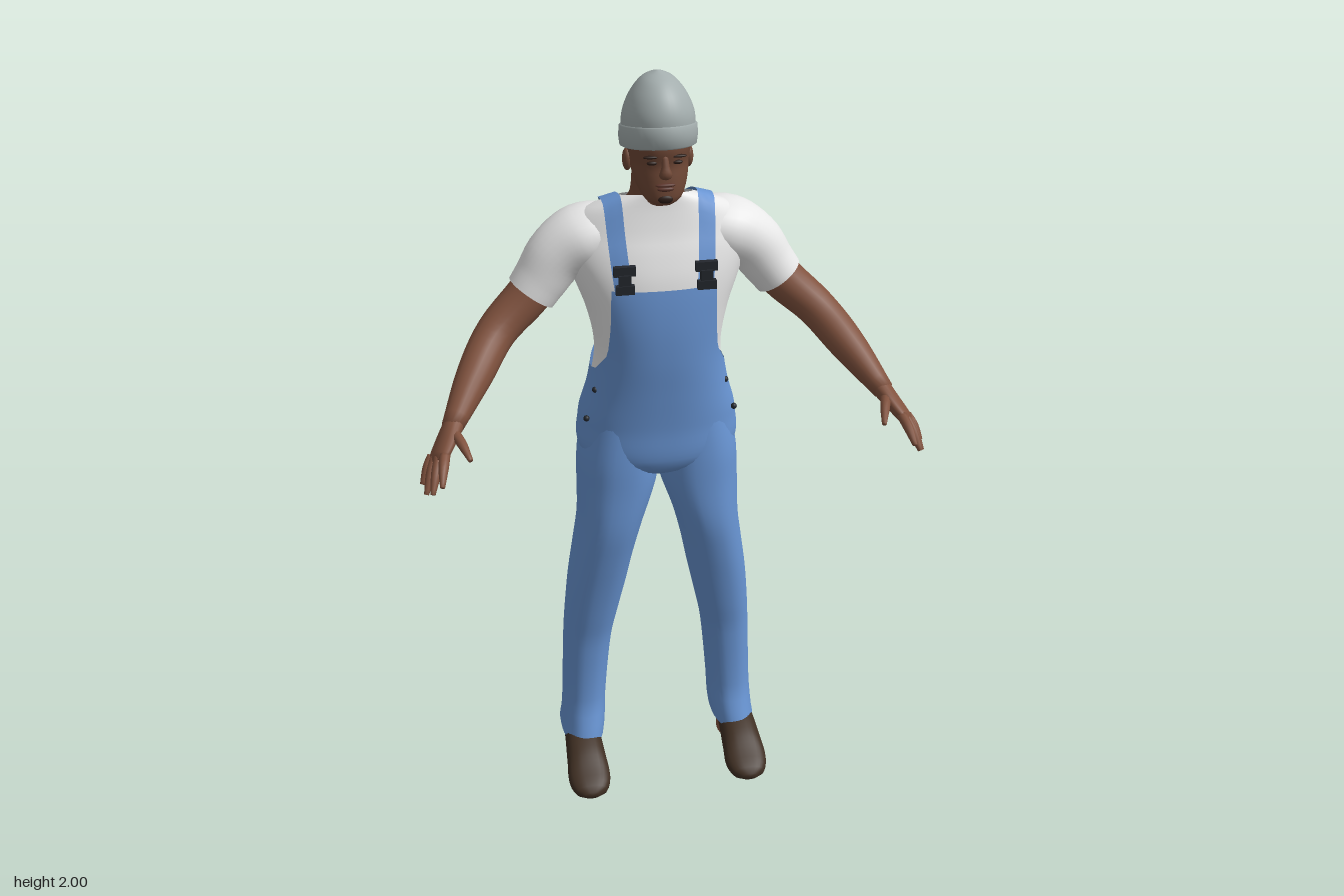
import * as THREE from 'three';

const V = (x, y, z) => new THREE.Vector3(x, y, z);
const mat = (name, color, side = THREE.FrontSide) => {
  const m = new THREE.MeshStandardMaterial({ color, side });
  m.name = name;
  return m;
};

// Smooth interpolation of a table whose first column is the key
function sample(table, k) {
  const n = table.length;
  let i = 0;
  while (i < n - 2 && k > table[i + 1][0]) i++;
  const slope = (j, c) => {
    const a = table[Math.max(j - 1, 0)], b = table[Math.min(j + 1, n - 1)];
    return (b[c] - a[c]) / (b[0] - a[0]);
  };
  const p = table[i], q = table[i + 1], h = q[0] - p[0];
  const t = THREE.MathUtils.clamp((k - p[0]) / h, 0, 1), t2 = t * t, t3 = t2 * t;
  return p.map((v, c) => c === 0 ? k :
    (2 * t3 - 3 * t2 + 1) * v + (t3 - 2 * t2 + t) * h * slope(i, c) +
    (3 * t2 - 2 * t3) * q[c] + (t3 - t2) * h * slope(i + 1, c));
}

// Skin over rows of points; closed rows share their seam
function skinRows(name, rows, material, closed = true, caps = false) {
  if (caps) {
    const tip = (r) => {
      const c = V(0, 0, 0);
      r.forEach((p) => c.addScaledVector(p, 1 / r.length));
      return r.map(() => c);
    };
    rows = [tip(rows[0]), ...rows, tip(rows[rows.length - 1])];
  }
  const m = rows[0].length, index = [];
  for (let i = 0; i < rows.length - 1; i++) {
    for (let j = 0; j < (closed ? m : m - 1); j++) {
      const k = (j + 1) % m, a = i * m + j, b = i * m + k, c = a + m, d = b + m;
      index.push(a, b, c, b, d, c);
    }
  }
  const g = new THREE.BufferGeometry().setFromPoints(rows.flat());
  g.setIndex(index);
  g.computeVertexNormals();
  const mesh = new THREE.Mesh(g, material);
  mesh.name = name;
  return mesh;
}

const pw = (v, e) => Math.sign(v) * Math.abs(v) ** e;
const angles = (n) => Array.from({ length: n }, (_, j) => j / n * Math.PI * 2);

// Point on a level section [y, halfWidth, zFront, zBack]
function section([y, w, zf, zb], a, cx = 0, n = 2.3, grow = 0, tilt = 0) {
  const dz = ((zf - zb) / 2 + grow) * pw(Math.cos(a), 2 / n);
  return V(cx + (w + grow) * pw(Math.sin(a), 2 / n), y + tilt * dz, (zf + zb) / 2 + dz);
}

// Level-section body from a bottom-up table
function stack(name, table, material, { n = 2.2, steps = 24, tilt = 0, caps = false } = {}) {
  const lo = table[0][0], hi = table[table.length - 1][0], rows = [];
  for (let i = 0; i <= steps; i++) {
    const s = sample(table, lo + (hi - lo) * i / steps);
    rows.push(angles(40).map((a) => section(s, a, 0, n, 0, tilt * (1 - i / steps))));
  }
  return skinRows(name, rows, material, true, caps);
}

// Limb through stations [x, y, z, radius across z, other radius]
function limb(name, st, material, { sides = 20, steps = 20, caps = true } = {}) {
  const curve = new THREE.CatmullRomCurve3(st.map((s) => V(s[0], s[1], s[2])));
  const radii = st.map((s, i) => [i, s[3], s[4] ?? s[3]]);
  const rows = [];
  for (let i = 0; i <= steps; i++) {
    const u = i / steps, c = curve.getPoint(u), t = curve.getTangent(u);
    const [, ra, rb] = sample(radii, u * (st.length - 1));
    const n1 = V(0, 0, 1).addScaledVector(t, -t.z).normalize();
    const n2 = t.clone().cross(n1);
    rows.push(angles(sides).map((a) => c.clone()
      .addScaledVector(n1, ra * Math.cos(a)).addScaledVector(n2, rb * Math.sin(a))));
  }
  return skinRows(name, rows, material, true, caps);
}

function solid(name, g, material, x, y, z) {
  g.translate(x, y, z);
  const m = new THREE.Mesh(g, material);
  m.name = name;
  return m;
}
const box = (name, w, h, d, m, x, y, z) => solid(name, new THREE.BoxGeometry(w, h, d), m, x, y, z);
const ball = (name, w, h, d, m, x, y, z) =>
  solid(name, new THREE.SphereGeometry(1, 18, 12).scale(w, h, d), m, x, y, z);

function mirrored(mesh, name) {
  const g = mesh.geometry.clone().scale(-1, 1, 1), ix = g.index.array;
  for (let i = 0; i < ix.length; i += 3) [ix[i], ix[i + 1]] = [ix[i + 1], ix[i]];
  const m = new THREE.Mesh(g, mesh.material);
  m.name = name;
  return m;
}

export function createModel() {
  const group = new THREE.Group();
  group.name = 'workman';
  const skin = mat('skin', 0x80523e), faceSkin = mat('face skin', 0x704836);
  const dark = mat('dark brown hair', 0x2c1d17), lip = mat('lips', 0x5c352b);
  const shirtMat = mat('white cotton', 0xe9e9e9, THREE.DoubleSide);
  const denim = mat('blue denim', 0x6894d2, THREE.DoubleSide);
  const wool = mat('grey wool', 0xa4aeae, THREE.DoubleSide);
  const leather = mat('brown leather', 0x3f2f23), metal = mat('dark buckle', 0x23272d);
  const add = (...m) => group.add(...m);
  const pair = (m) => {
    const base = m.name;
    m.name = 'left ' + base;
    group.add(m, mirrored(m, 'right ' + base));
  };

  // Torso sections shared by shirt and overalls
  const torso = [
    [0.935, 0.04, -0.08, -0.17], [0.96, 0.1, -0.03, -0.22], [1.0, 0.19, -0.002, -0.248],
    [1.1, 0.198, 0.002, -0.252], [1.2, 0.173, 0.01, -0.236], [1.3, 0.16, 0.018, -0.236],
    [1.4, 0.177, 0.018, -0.252], [1.5, 0.212, 0.006, -0.263], [1.57, 0.232, -0.015, -0.26],
    [1.62, 0.22, -0.035, -0.25], [1.66, 0.175, -0.05, -0.23], [1.69, 0.09, -0.055, -0.2]];
  const ring = angles(96);
  const shirtRows = [];
  for (let i = 0; i <= 36; i++) {
    const y = 1.2 + 0.49 * i / 36, tilt = 0.3 * THREE.MathUtils.smoothstep(y, 1.6, 1.69);
    shirtRows.push(ring.map((a) => section(sample(torso, y), a, 0, 2.3, 0, tilt)));
  }
  const shirt = skinRows('shirt body', shirtRows, shirtMat);
  add(shirt);
  pair(limb('sleeve', [[0.1, 1.6, -0.14, 0.085, 0.065], [0.18, 1.582, -0.14, 0.096, 0.082],
    [0.243, 1.545, -0.134, 0.08, 0.076], [0.285, 1.49, -0.128, 0.071, 0.068],
    [0.313, 1.452, -0.124, 0.068, 0.064]], shirtMat, { sides: 28, caps: false }));

  // Overalls: the top edge dips at the sides, with bib in front and panel behind
  const edge = [[0, 1.49], [0.59, 1.49], [0.75, 1.4], [0.95, 1.31], [1.3, 1.258], [1.6, 1.243],
    [2.05, 1.275], [2.45, 1.35], [2.8, 1.43], [3.15, 1.465]];
  const edgeAt = (a) => {
    const k = Math.min(a, Math.PI * 2 - a), i = edge.findIndex((e) => e[0] >= k);
    if (i < 1) return edge[0][1];
    const [p, q] = [edge[i - 1], edge[i]];
    return p[1] + (q[1] - p[1]) * (k - p[0]) / (q[0] - p[0]);
  };
  const overRows = [];
  for (let i = 0; i <= 36; i++) {
    overRows.push(ring.map((a) =>
      section(sample(torso, 0.935 + (edgeAt(a) - 0.935) * i / 36), a, 0, 2.3, 0.007)));
  }
  add(skinRows('overalls body', overRows, denim));

  // Trouser legs: [y, outer x, inner x, front z, back z]
  const leg = [[0.085, 0.28, 0.16, -0.02, -0.262], [0.12, 0.275, 0.155, -0.032, -0.25],
    [0.2, 0.27, 0.15, -0.058, -0.238], [0.4, 0.262, 0.13, -0.06, -0.228],
    [0.5, 0.255, 0.11, -0.045, -0.228], [0.6, 0.245, 0.088, -0.028, -0.23],
    [0.7, 0.23, 0.068, -0.01, -0.235], [0.8, 0.216, 0.043, 0.004, -0.24],
    [0.92, 0.213, 0.004, 0.002, -0.25], [1.0, 0.209, -0.002, 0, -0.253], [1.12, 0.185, 0, -0.01, -0.245]];
  const legRows = [];
  for (let i = 0; i <= 40; i++) {
    const [y, o, n, zf, zb] = sample(leg, 0.085 + 1.035 * i / 40);
    legRows.push(angles(36).map((a) => section([y, (o - n) / 2, zf, zb], a, (o + n) / 2)));
  }
  pair(skinRows('trouser leg', legRows, denim));

  // Straps laid over the shoulders by casting onto the shirt
  shirt.updateMatrixWorld();
  const across = [[0, 0.1], [0.3, 0.112], [0.5, 0.116], [0.7, 0.09], [1, 0.022]];
  const caster = new THREE.Raycaster(), strapRows = [];
  for (let i = 0; i <= 40; i++) {
    const u = i / 40, a = THREE.MathUtils.degToRad(28 + 142 * u), dir = V(0, Math.sin(a), Math.cos(a));
    const row = [-0.021, -0.007, 0.007, 0.021].map((off) => {
      const c = V(sample(across, u)[1] + off, 1.42, -0.12);
      caster.set(c.clone().add(dir), dir.clone().negate());
      const hit = caster.intersectObject(shirt)[0];
      return hit && hit.point.addScaledVector(dir, 0.008);
    });
    if (row.every(Boolean)) strapRows.push(row);
  }
  pair(skinRows('shoulder strap', strapRows, denim, false));
  pair(box('upper buckle', 0.054, 0.024, 0.014, metal, 0.1, 1.548, 0.012));
  pair(box('buckle clasp', 0.03, 0.03, 0.014, metal, 0.1, 1.525, 0.017));
  pair(box('lower buckle', 0.046, 0.022, 0.014, metal, 0.1, 1.503, 0.02));
  for (const y of [1.2, 1.12]) pair(ball('side button', 0.008, 0.008, 0.008, metal, y > 1.15 ? 0.168 : 0.192, y, -0.06));

  // Arms, hands and fingers
  pair(limb('arm', [[0.26, 1.52, -0.13, 0.055], [0.32, 1.447, -0.122, 0.055], [0.405, 1.372, -0.085, 0.05],
    [0.47, 1.3, 0, 0.045], [0.537, 1.218, 0.105, 0.03, 0.026]], skin));
  pair(limb('palm', [[0.53, 1.225, 0.095, 0.029, 0.025], [0.553, 1.198, 0.13, 0.04, 0.021],
    [0.575, 1.172, 0.165, 0.042, 0.017], [0.582, 1.163, 0.178, 0.032, 0.01]], skin));
  const fingers = [[0.562, 1.186, 0.185, 0.575, 1.143, 0.262], [0.575, 1.175, 0.175, 0.598, 1.112, 0.238],
    [0.584, 1.166, 0.158, 0.613, 1.096, 0.208], [0.59, 1.162, 0.14, 0.62, 1.105, 0.172],
    [0.535, 1.215, 0.13, 0.504, 1.19, 0.228]];
  fingers.forEach(([a, b, c, d, e, f], i) => pair(limb(i < 4 ? 'finger' : 'thumb',
    [[a, b, c, 0.013], [(a + d) / 2, (b + e) / 2 + 0.006, (c + f) / 2, 0.012], [d, e, f, 0.006]],
    skin, { sides: 10, steps: 8 })));
  pair(ball('elbow mark', 0.022, 0.02, 0.01, dark, 0.375, 1.388, -0.143));

  // Neck, head and face
  add(stack('neck', [[1.64, 0.1, -0.06, -0.205], [1.67, 0.082, -0.055, -0.193], [1.7, 0.066, -0.045, -0.175],
    [1.79, 0.06, -0.04, -0.165]], faceSkin, { n: 2, steps: 12 }));
  add(stack('head', [[1.703, 0.022, 0.0, -0.04], [1.715, 0.043, 0.011, -0.075], [1.74, 0.058, 0.013, -0.12],
    [1.77, 0.067, 0.01, -0.16], [1.8, 0.071, 0.006, -0.185], [1.84, 0.077, 0.011, -0.193],
    [1.89, 0.07, 0, -0.18]], faceSkin, { caps: true }));
  add(limb('nose', [[0, 1.825, 0.002, 0.008], [0, 1.8, 0.01, 0.01, 0.01], [0, 1.782, 0.013, 0.012, 0.016],
    [0, 1.774, 0.008, 0.006, 0.01]], faceSkin, { sides: 12, steps: 10 }));
  add(ball('upper lip', 0.024, 0.005, 0.007, lip, 0, 1.757, 0.011));
  add(ball('lower lip', 0.02, 0.006, 0.007, lip, 0, 1.748, 0.012));
  add(ball('chin beard', 0.018, 0.01, 0.006, dark, 0, 1.722, 0.011));
  pair(ball('eye', 0.013, 0.005, 0.006, dark, 0.03, 1.809, 0.001));
  pair(ball('eyebrow', 0.02, 0.004, 0.007, dark, 0.032, 1.824, 0.002));
  pair(ball('ear', 0.012, 0.028, 0.018, faceSkin, 0.074, 1.79, -0.095));

  // Knitted cap with a turned-up cuff
  add(stack('cap crown', [[1.85, 0.088, 0.016, -0.196], [1.9, 0.086, 0.015, -0.195], [1.94, 0.072, 0.002, -0.182],
    [1.97, 0.052, -0.02, -0.16], [1.99, 0.03, -0.05, -0.13], [2.0, 0.004, -0.088, -0.096]],
    wool, { n: 2, tilt: 0.2, caps: true }));
  const cuff = [[1.822, 0.084, 0.012, -0.19], [1.826, 0.091, 0.02, -0.2], [1.85, 0.094, 0.023, -0.203],
    [1.874, 0.092, 0.021, -0.201], [1.878, 0.086, 0.014, -0.194]];
  add(skinRows('cap cuff', cuff.map((s) => angles(40).map((a) => section(s, a, 0, 2, 0, 0.2))), wool));

  // Shoes: [z, half width, top y, bottom y]
  const shoe = [[-0.208, 0.025, 0.09, 0.05], [-0.185, 0.043, 0.11, 0.035], [-0.08, 0.05, 0.118, 0.022],
    [0, 0.055, 0.098, 0.004], [0.06, 0.058, 0.066, 0.001], [0.1, 0.044, 0.045, 0.003], [0.115, 0.02, 0.03, 0.01]];
  const shoeRows = [];
  for (let i = 0; i <= 24; i++) {
    const [z, w, t, b] = sample(shoe, -0.208 + 0.323 * i / 24);
    shoeRows.push(angles(28).map((a) => V(0.225 + w * pw(Math.cos(a), 0.8),
      (t + b) / 2 + (t - b) / 2 * pw(Math.sin(a), 0.8), z)));
  }
  pair(skinRows('shoe', shoeRows, leather, true, true));
  pair(solid('shoe heel', new THREE.CylinderGeometry(0.042, 0.04, 0.05, 24).scale(1, 1, 1.45), skin, 0.222, 0.025, -0.142));
  pair(box('arch plate', 0.06, 0.008, 0.05, metal, 0.225, 0.017, -0.06));

  return group;
}
